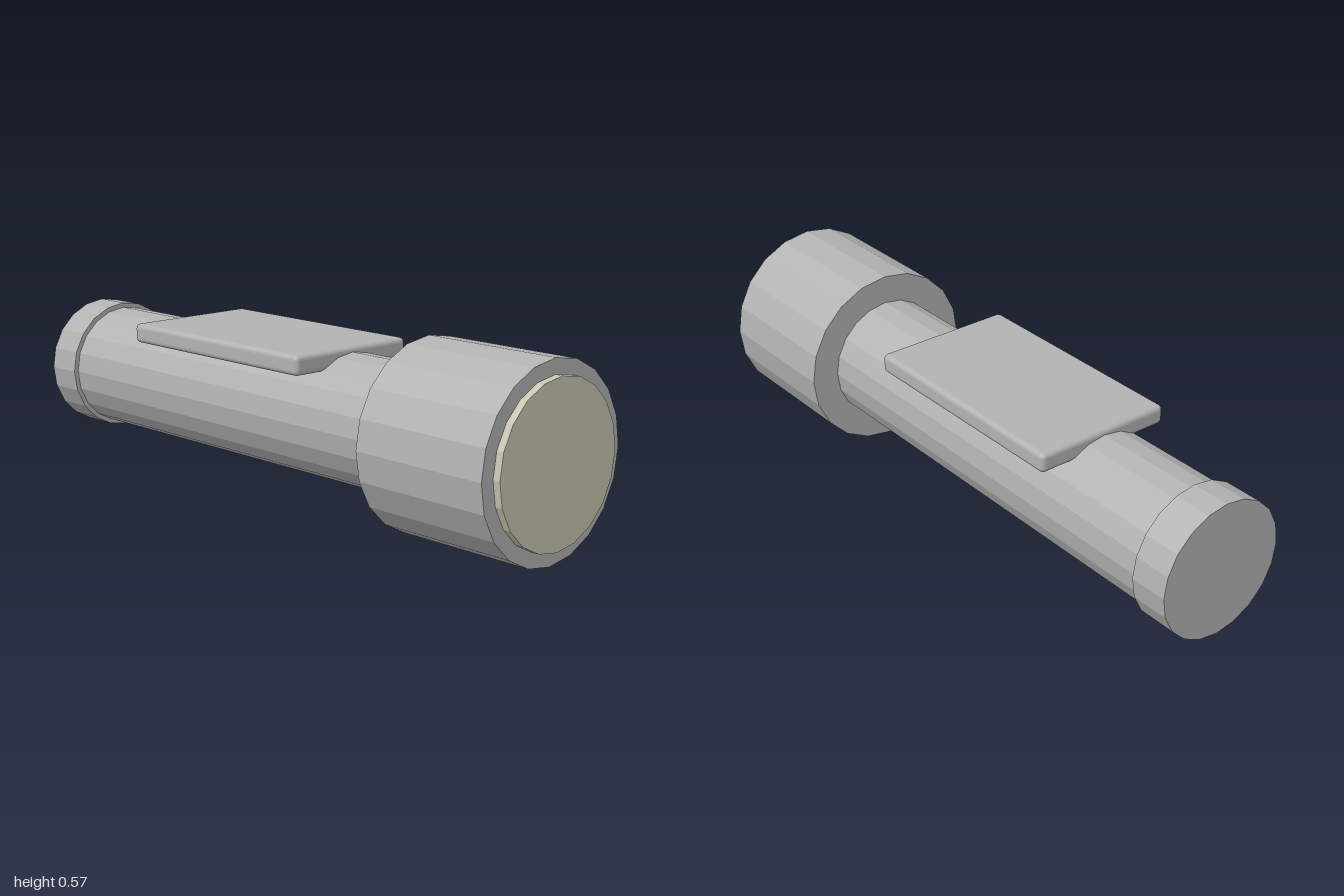
import * as THREE from 'three';
import { RoundedBoxGeometry } from 'three/addons/geometries/RoundedBoxGeometry.js';

const AXIS_Y = 0.286; // height of the barrel axis

export function createModel() {
  const model = new THREE.Group();
  model.name = 'flashlight';

  const metal = new THREE.MeshStandardMaterial({ color: 0xb2b2b2, flatShading: true });
  metal.name = 'grey metal';
  const glass = new THREE.MeshStandardMaterial({ color: 0xc9c5b2, flatShading: true });
  glass.name = 'pale lens';

  // Twenty-sided cylinder lying along z between two ends
  function barrel(name, radius, back, front, material) {
    const geometry = new THREE.CylinderGeometry(radius, radius, front - back, 20);
    geometry.rotateX(Math.PI / 2);
    const mesh = new THREE.Mesh(geometry, material);
    mesh.name = name;
    mesh.position.set(0, AXIS_Y, (front + back) / 2);
    model.add(mesh);
  }

  barrel('body', 0.195, -0.89, 0.54, metal);
  barrel('head', 0.286, 0.527, 0.977, metal);
  barrel('lens', 0.241, 0.96, 1, glass);
  barrel('tailCap', 0.21, -1, -0.88, metal);

  // Rounded plate resting on top of the body
  const plate = new THREE.Mesh(new RoundedBoxGeometry(0.45, 0.06, 0.75, 3, 0.015), metal);
  plate.name = 'topPlate';
  plate.position.set(0, 0.467, -0.15);
  model.add(plate);

  return model;
}
